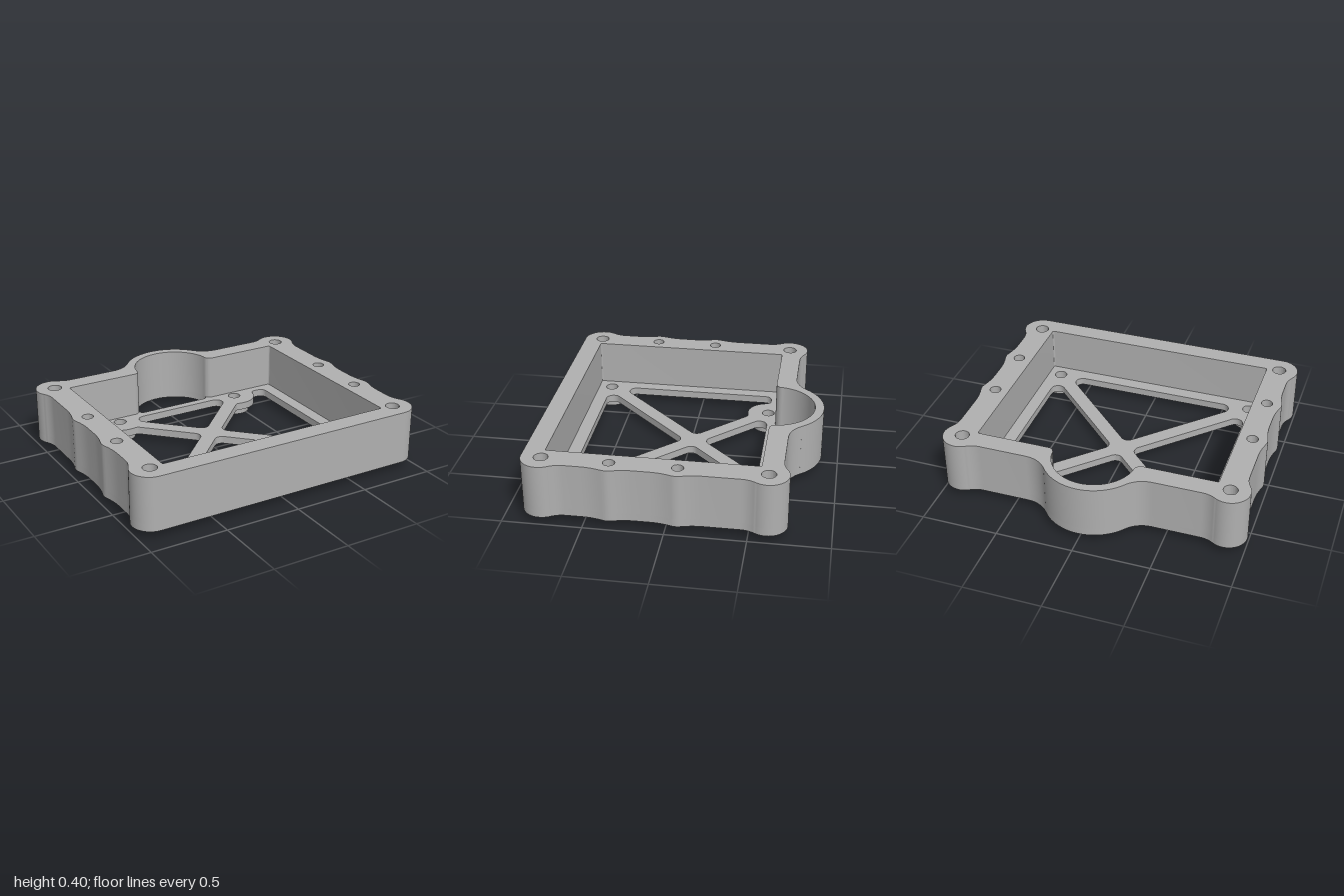
import * as THREE from 'three';
import { toCreasedNormals } from 'three/addons/utils/BufferGeometryUtils.js';

const rad = THREE.MathUtils.degToRad;
const V = (x, z) => new THREE.Vector2(x, z);

// Points along a chain of arcs [cx, cz, radius, startDeg, endDeg]
function arcs(list) {
  const pts = [];
  for (const [cx, cz, r, a0, a1] of list) {
    const n = r === 0 ? 0 : Math.max(4, Math.ceil(Math.abs(a1 - a0) / 5));
    for (let i = 0; i <= n; i++) {
      const a = rad(n ? a0 + ((a1 - a0) * i) / n : a0);
      pts.push(V(cx + r * Math.cos(a), cz + r * Math.sin(a)));
    }
  }
  return pts;
}

// Completes a right-hand half outline with its mirror image
function mirrored(half) {
  const left = half.filter(p => p.x > 1e-4).map(p => V(-p.x, p.y)).reverse();
  return [...half, ...left];
}

// Polygon of [x, z, cornerRadius] with true circular corners
function rounded(corners) {
  const pts = [];
  corners.forEach(([x, z, r], i) => {
    const p = V(x, z);
    if (!r) return pts.push(p);
    const [ax, az] = corners.at(i - 1);
    const [bx, bz] = corners[(i + 1) % corners.length];
    const u = V(ax, az).sub(p).normalize();
    const w = V(bx, bz).sub(p).normalize();
    const half = Math.acos(u.dot(w)) / 2;
    const c = u.clone().add(w).normalize().multiplyScalar(r / Math.sin(half)).add(p);
    const t = r / Math.tan(half);
    const s = u.multiplyScalar(t).add(p).sub(c);
    const e = w.multiplyScalar(t).add(p).sub(c);
    const turn = Math.atan2(s.cross(e), s.dot(e));
    for (let k = 0; k <= 8; k++) {
      pts.push(s.clone().rotateAround(V(0, 0), (turn * k) / 8).add(c));
    }
  });
  return pts;
}

const circle = (x, z, r) => arcs([[x, z, r, 0, 352.5]]);

// Plan outline with holes, raised between two heights
function slab(name, outline, holes, y0, y1, material) {
  const shape = new THREE.Shape(outline);
  shape.holes = holes.map(h => new THREE.Path(h));
  let geo = new THREE.ExtrudeGeometry(shape, { depth: y1 - y0, bevelEnabled: false });
  geo.rotateX(Math.PI / 2).translate(0, y1, 0);
  geo = toCreasedNormals(geo, 0.5);
  const mesh = new THREE.Mesh(geo, material);
  mesh.name = name;
  return mesh;
}

export function createModel() {
  const group = new THREE.Group();
  group.name = 'mountingFrame';
  const grey = new THREE.MeshStandardMaterial({ color: 0xb0b0b0 });
  grey.name = 'grey';

  // Outer contour: back arch, corner lobes and side bumps with blends
  const bump = z => [
    [1.381, z - 0.16, 0.426, 180, 162.2],
    [0.882, z, 0.098, -17.8, 17.8],
    [1.381, z + 0.16, 0.426, 197.8, 180],
  ];
  const outline = mirrored(arcs([
    [0, -0.565, 0.328, -90, -37.3],
    [0.41, -0.877, 0.187, 142.7, 90],
    [0.72, -0.854, 0.164, 90, 57.6],
    [0.875, -0.61, 0.125, -122.4, 32.4],
    [1.119, -0.455, 0.164, 212.4, 180],
    ...bump(-0.07),
    ...bump(0.345),
    [1.119, 0.607, 0.164, 180, 147.6],
    [0.875, 0.762, 0.125, -32.4, 90],
  ]));

  // Screw holes through the rim
  const rimHoles = [];
  for (const s of [-1, 1]) {
    for (const z of [-0.61, 0.762]) rimHoles.push(circle(s * 0.875, z, 0.045));
    for (const z of [-0.07, 0.345]) rimHoles.push(circle(s * 0.882, z, 0.037));
  }

  // Walls around the rectangular cavity, which opens into the arch
  const arch = [0, -0.565, 0.27, -90, -8.5];
  const cavity = mirrored(arcs([
    arch,
    [0.31, -0.605, 0.045, 180, 90],
    [0.78, -0.55, 0.01, -90, 0],
    [0.78, 0.747, 0.01, 0, 90],
  ]));
  group.add(slab('walls', outline, [cavity, ...rimHoles], 0.1, 0.4, grey));

  // Floor cutouts that leave the crossed struts and rear screw lobes
  const archHole = mirrored(arcs([arch, [0.235, -0.592, 0.032, 0, 90]]));
  const backHole = rounded([[-0.4, -0.505, 0.05], [0.4, -0.505, 0.05], [0, -0.105, 0.05]]);
  const frontHole = rounded([[0, 0.03, 0.05], [0.638, 0.668, 0.05], [-0.638, 0.668, 0.05]]);
  const lobe = arcs([[0.455, -0.5, 0.143, 95, 15]]).map(p => [p.x, p.y, 0]);
  const sideHole = rounded([
    [0.07, -0.04, 0.05],
    [0.393, -0.363, 0.03],
    ...lobe,
    [0.61, -0.505, 0.03],
    [0.705, -0.505, 0.045],
    [0.705, 0.595, 0.05],
  ]);
  const otherSideHole = sideHole.map(p => V(-p.x, p.y));

  // Feet under the floor, each bored through
  const feet = [[0.457, -0.5], [-0.457, -0.5], [0.703, 0.665], [-0.703, 0.665]];
  const footHoles = feet.map(([x, z]) => circle(x, z, 0.042));
  group.add(slab('floor', outline,
    [archHole, backHole, frontHole, sideHole, otherSideHole, ...rimHoles, ...footHoles],
    0.05, 0.1, grey));
  feet.forEach(([x, z], i) => {
    group.add(slab('foot' + (i + 1), circle(x, z, 0.103), [footHoles[i]], 0, 0.05, grey));
  });

  return group;
}
